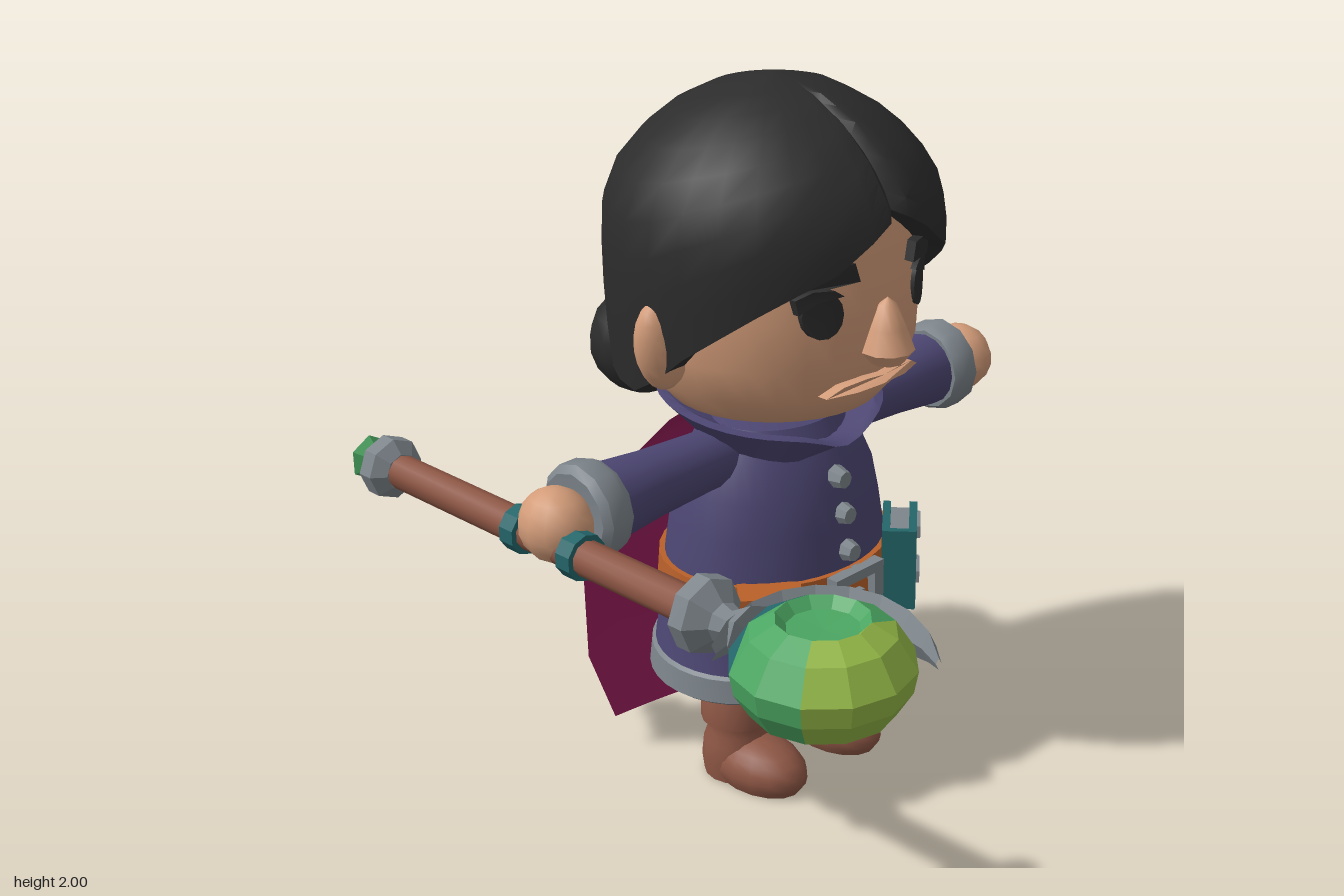
import * as THREE from 'three';
import { toCreasedNormals } from 'three/addons/utils/BufferGeometryUtils.js';

const paint = (name, hex) => {
  const m = new THREE.MeshStandardMaterial({ color: hex });
  m.name = name;
  return m;
};
const V = (pts) => pts.map(([x, y]) => new THREE.Vector2(x, y));
const lathe = (pts, n = 24) => new THREE.LatheGeometry(V(pts), n);
const box = (w, h, d) => new THREE.BoxGeometry(w, h, d);
const FLAT = 0.02;

// Piecewise linear lookup in a list of [key, value]
function lookup(table, k) {
  for (let i = 1; i < table.length; i++) {
    const [k0, v0] = table[i - 1], [k1, v1] = table[i];
    if (k <= k1) return v0 + (v1 - v0) * Math.max(0, (k - k0) / (k1 - k0));
  }
  return table[table.length - 1][1];
}

// Surface through nu x nv points; closed wraps around u
function grid(nu, nv, fn, closed) {
  const pos = [], idx = [];
  for (let j = 0; j < nv; j++) for (let i = 0; i < nu; i++) pos.push(...fn(i, j));
  for (let j = 0; j < nv - 1; j++) for (let i = 0; i < (closed ? nu : nu - 1); i++) {
    const a = j * nu + i, b = j * nu + (i + 1) % nu;
    idx.push(a, b, b + nu, a, b + nu, a + nu);
  }
  const g = new THREE.BufferGeometry();
  g.setAttribute('position', new THREE.Float32BufferAttribute(pos, 3));
  g.setIndex(idx);
  return g;
}

function warp(g, fn) {
  const p = g.attributes.position;
  for (let i = 0; i < p.count; i++) p.setXYZ(i, ...fn(p.getX(i), p.getY(i), p.getZ(i)));
  return g;
}

// Thin plate wrapped on the front of the head
function facePlate(pts, R) {
  const g = new THREE.ExtrudeGeometry(new THREE.Shape(V(pts)), { depth: 0.03, bevelEnabled: false });
  return warp(g, (x, y, z) => [x, y, Math.sqrt(R * R - x * x) + z - 0.02]);
}

export function createModel() {
  const hair = paint('hair black', 0x2c2c2c), skin = paint('skin', 0xd39c79);
  const cloth = paint('robe purple', 0x4c4672), capeMat = paint('cape magenta', 0x9a1f5c);
  const leather = paint('belt orange', 0xb9602a), metal = paint('metal grey', 0x7d858b);
  const brown = paint('boot brown', 0x8d5644), teal = paint('teal', 0x24666a);
  const green = paint('crystal green', 0x4ba662), lime = paint('orb lime', 0x93b747);
  capeMat.side = THREE.DoubleSide;

  const model = new THREE.Group();
  const group = (name, x, y, z, parent = model) => {
    const g = new THREE.Group();
    g.name = name;
    g.position.set(x, y, z);
    parent.add(g);
    return g;
  };
  const add = (parent, name, geo, mat, pos = [0, 0, 0], rot = [0, 0, 0], crease = 0.75) => {
    const m = new THREE.Mesh(toCreasedNormals(geo, crease), mat);
    m.name = name;
    m.position.set(...pos);
    m.rotation.set(...rot);
    parent.add(m);
    return m;
  };
  const body = group('character', 0.07, 0, -0.17);

  // Head and face
  add(body, 'head', lathe([[0, 1.11], [0.2, 1.12], [0.29, 1.15], [0.35, 1.22], [0.38, 1.32], [0.387, 1.45],
    [0.378, 1.6], [0.34, 1.75], [0, 1.85]], 32), skin);
  add(body, 'nose', lathe([[0, 1.31], [0.045, 1.315], [0.073, 1.35], [0.05, 1.41], [0.025, 1.47], [0, 1.49]], 10),
    skin, [0, 0, 0.4]);
  add(body, 'mouth', facePlate([[-0.175, 1.247], [-0.09, 1.25], [0, 1.253], [0.09, 1.25], [0.175, 1.247],
    [0.13, 1.272], [0.06, 1.281], [0, 1.277], [-0.06, 1.281], [-0.13, 1.272]], 0.385), skin);
  for (const s of [-1, 1]) {
    const oval = [];
    for (let i = 0; i < 14; i++) {
      const a = i / 14 * Math.PI * 2;
      oval.push([s * 0.183 + 0.049 * Math.cos(a), 1.472 + 0.062 * Math.sin(a)]);
    }
    const side = (pts) => pts.map(([x, y]) => [s * x, y]);
    add(body, 'eye', facePlate(oval, 0.387), hair);
    add(body, 'eyelash', facePlate(side([[0.135, 1.52], [0.16, 1.538], [0.21, 1.54], [0.247, 1.52], [0.24, 1.48],
      [0.2, 1.51]]), 0.39), hair);
    add(body, 'eyebrow', facePlate(side([[0.1, 1.555], [0.115, 1.605], [0.2, 1.6], [0.255, 1.58], [0.28, 1.54],
      [0.2, 1.545]]), 0.4), hair);
    const ear = add(body, 'ear', new THREE.SphereGeometry(1, 14, 10), skin, [s * 0.41, 1.37, 0], [0, s * 0.15, -s * 0.12]);
    ear.scale.set(0.078, 0.125, 0.055);
  }

  // Hair cap with a sloping hairline and a parting
  const hem = [[0, 1.72], [0.2, 1.67], [0.5, 1.58], [0.75, 1.54], [1.29, 1.38], [1.72, 1.22], [3.2, 1.205]];
  const hairR = [[1.2, 0.432], [1.4, 0.45], [1.65, 0.452], [1.74, 0.43], [1.83, 0.365], [1.91, 0.27], [1.97, 0.15], [2, 0]];
  const angles = [0, 0.08];
  for (let i = 1; i < 28; i++) angles.push(i / 28 * Math.PI * 2);
  angles.push(Math.PI * 2 - 0.08);
  add(body, 'hair', grid(angles.length, 12, (i, j) => {
    const a = angles[i], low = lookup(hem, Math.min(a, Math.PI * 2 - a));
    const t = Math.max(0, (j - 1) / 10);
    const y = low + (2 - low) * Math.sin(t * Math.PI / 2);
    let r = j === 0 ? 0.34 : j === 11 ? 0 : lookup(hairR, y);
    if (i === 0 && j > 0 && j < 9) r -= 0.03;
    return [r * Math.sin(a), y, r * Math.cos(a)];
  }, true), hair, undefined, undefined, 0.8);
  add(body, 'hairBun', new THREE.SphereGeometry(0.157, 12, 9), hair, [0, 1.135, -0.52]);
  add(body, 'hairTie', lathe([[0, -0.04], [0.08, -0.04], [0.1, -0.02], [0.1, 0.02], [0.08, 0.04], [0, 0.04]], 12),
    cloth, [0, 1.235, -0.405], [-2.28, 0, 0]);

  // Robe with a hem that lifts at the front
  const lift = (x, y, z) => {
    const c = Math.max(0, z / (Math.hypot(x, z) || 1));
    return [x, y + 0.085 * c ** 5 * Math.max(0, Math.min(1, (0.58 - y) / 0.12)) * Math.min(1, Math.hypot(x, z) / 0.3), z * 0.83];
  };
  add(body, 'robe', warp(lathe([[0, 0.4], [0.34, 0.38], [0.372, 0.4], [0.36, 0.47], [0.347, 0.58], [0.335, 0.68],
    [0.316, 0.8], [0.295, 0.9], [0.25, 1], [0.2, 1.08], [0, 1.12]], 40), lift), cloth);
  add(body, 'hemTrim', warp(lathe([[0.33, 0.36], [0.375, 0.335], [0.388, 0.345], [0.38, 0.41], [0.366, 0.42], [0.34, 0.4]], 40),
    lift), metal);
  add(body, 'belt', warp(lathe([[0.32, 0.57], [0.36, 0.57], [0.35, 0.685], [0.31, 0.685]], 32),
    (x, y, z) => [x, y, z * 0.84]), leather);
  for (const [y, z] of [[0.935, 0.243], [0.835, 0.262], [0.73, 0.28]])
    add(body, 'button', new THREE.CylinderGeometry(0.024, 0.035, 0.04, 8), metal, [0, y, z], [Math.PI / 2, 0, 0], FLAT);

  // Collar, higher behind, notched in front
  add(body, 'collar', grid(36, 4, (i, j) => {
    const a = i / 36 * Math.PI * 2, c = Math.cos(a), back = (1 - c) / 2;
    const notch = Math.max(0, c) ** 14;
    const y = [0.99 + 0.06 * back + 0.03 * notch, 1.09 + 0.075 * back - 0.05 * notch,
      1.095 + 0.075 * back - 0.05 * notch, 1.03 + 0.06 * back][j];
    const r = [0.215, 0.29 + 0.04 * back, 0.265 + 0.04 * back, 0.17][j] - 0.02 * notch;
    return [r * Math.sin(a), y, r * c];
  }, true), cloth);

  // Buckle
  const frame = new THREE.Shape(V([[-0.095, -0.07], [0.095, -0.07], [0.095, 0.07], [-0.095, 0.07]]));
  frame.holes.push(new THREE.Path(V([[-0.06, -0.04], [-0.06, 0.04], [0.06, 0.04], [0.06, -0.04]])));
  const buckle = group('buckle', 0, 0.615, 0.285, body);
  add(buckle, 'buckleFrame', new THREE.ExtrudeGeometry(frame, { depth: 0.035, bevelEnabled: false }), metal);
  add(buckle, 'bucklePin', box(0.09, 0.022, 0.02), metal, [-0.03, 0, 0.028]);

  // Belt pouch
  const pouch = group('pouch', -0.255, 0.6, 0.225, body);
  pouch.rotation.y = -0.72;
  const bag = warp(box(0.15, 0.17, 0.09), (x, y, z) => [x * (y < 0 ? 0.85 : 1), y, z * (y < 0 ? 0.8 : 1)]);
  add(pouch, 'pouchBag', bag, leather, [0, 0, 0], undefined, FLAT);
  const flap = new THREE.Shape(V([[-0.085, 0.09], [-0.085, 0.01], [0, -0.04], [0.085, 0.01], [0.085, 0.09]]));
  add(pouch, 'pouchFlap', new THREE.ExtrudeGeometry(flap, { depth: 0.1, bevelEnabled: false }), leather, [0, 0, -0.04]);
  add(pouch, 'pouchStud', new THREE.CylinderGeometry(0.015, 0.02, 0.02, 8), metal, [0, 0.01, 0.068], [Math.PI / 2, 0, 0], FLAT);

  // Book hanging on the belt
  const book = group('book', 0.235, 0.625, 0.255, body);
  book.rotation.y = 0.7;
  for (const z of [-0.037, 0.037]) add(book, 'bookCover', box(0.19, 0.24, 0.022), teal, [0, 0, z]);
  add(book, 'bookSpine', box(0.02, 0.24, 0.09), teal, [-0.09, 0, 0]);
  add(book, 'bookPages', box(0.16, 0.21, 0.055), metal, [0.005, 0, 0]);
  for (const y of [-0.07, 0.07]) {
    add(book, 'bookClasp', box(0.1, 0.035, 0.012), metal, [0.05, y, 0.052]);
    add(book, 'bookClaspSide', box(0.012, 0.035, 0.1), metal, [0.098, y, 0.005]);
  }

  for (const s of [-1, 1]) {
    // Arms
    const arm = group(s > 0 ? 'leftArm' : 'rightArm', 0, 1, 0, body);
    const turn = [0, 0, -s * Math.PI / 2];
    add(arm, 'sleeve', lathe([[0, 0.08], [0.08, 0.1], [0.083, 0.3], [0.092, 0.48], [0.108, 0.65]], 16), cloth, undefined, turn);
    add(arm, 'cuff', lathe([[0, 0.63], [0.118, 0.63], [0.132, 0.655], [0.132, 0.71], [0.112, 0.728], [0, 0.72]], 12),
      metal, undefined, turn);
    const hand = add(arm, 'hand', new THREE.SphereGeometry(0.104, 12, 9), skin, [s * 0.785, -0.005, 0]);
    hand.scale.set(0.9, 0.95, 1);
    // Legs and boots
    const leg = group(s > 0 ? 'leftLeg' : 'rightLeg', s * 0.156, 0, 0, body);
    add(leg, 'trouser', new THREE.CylinderGeometry(0.09, 0.085, 0.22, 16), cloth, [0, 0.36, 0]);
    add(leg, 'bootShaft', lathe([[0, 0], [0.098, 0], [0.104, 0.05], [0.098, 0.11], [0.088, 0.14], [0.088, 0.165],
      [0.105, 0.175], [0.105, 0.285], [0.094, 0.3], [0, 0.3]], 16), brown);
    add(leg, 'bootFoot', warp(new THREE.SphereGeometry(1, 16, 12), (x, y, z) =>
      [x * 0.106, Math.max(0, 0.045 + y * 0.09), 0.08 + z * 0.165]), brown);
  }

  // Cape: rows of height, half width, depth
  const rows = [[1.09, 0.12, -0.15], [1.03, 0.19, -0.215], [0.95, 0.27, -0.257], [0.78, 0.385, -0.295],
    [0.6, 0.435, -0.318], [0.34, 0.42, -0.33], [0.1, 0.325, -0.335]].reverse();
  add(body, 'cape', grid(9, rows.length, (i, j) => {
    const u = i / 4 - 1, [y, w, z] = rows[j];
    return [u * w, y - (j === 0 ? 0.045 * (1 - Math.abs(u)) : 0), z - 0.015 * (1 - u * u)];
  }), capeMat);

  // Staff, profile measured along z
  const staff = group('staff', -0.735, 0.955, 0);
  const along = [Math.PI / 2, 0, 0];
  add(staff, 'staffShaft', new THREE.CylinderGeometry(0.047, 0.047, 1.16, 10), brown, [0, 0, -0.22], along);
  for (const z of [-0.275, -0.06])
    add(staff, 'staffBand', new THREE.CylinderGeometry(0.062, 0.062, 0.05, 10), teal, [0, 0, z], along, FLAT);
  add(staff, 'backCap', lathe([[0, -0.875], [0.055, -0.875], [0.085, -0.85], [0.085, -0.805], [0.05, -0.775], [0, -0.775]], 8),
    metal, undefined, along, FLAT);
  add(staff, 'crystalStem', new THREE.CylinderGeometry(0.03, 0.04, 0.04, 8), lime, [0, 0, -0.885], along, FLAT);
  add(staff, 'crystal', lathe([[0, -0.98], [0.065, -0.915], [0.02, -0.87], [0, -0.87]], 6), green, undefined, along, FLAT);
  add(staff, 'frontCap', lathe([[0, 0.325], [0.055, 0.325], [0.098, 0.355], [0.098, 0.4], [0.05, 0.44], [0.04, 0.47],
    [0.075, 0.53], [0, 0.55]], 8), metal, undefined, along, FLAT);

  // Squashed orb, coloured in bands from back to front
  const orb = add(staff, 'orb', lathe([[0, -0.13], [0.1, -0.13], [0.17, -0.095], [0.207, -0.035], [0.217, 0.02],
    [0.17, 0.095], [0.11, 0.13], [0.085, 0.105], [0, 0.1]], 12), [teal, green, lime], [0, 0, 0.755], undefined, FLAT);
  const p = orb.geometry.attributes.position;
  orb.geometry.clearGroups();
  for (let i = 0; i < p.count; i += 3) {
    const z = (p.getZ(i) + p.getZ(i + 1) + p.getZ(i + 2)) / 3;
    orb.geometry.addGroup(i, 3, z < -0.12 ? 0 : z < 0.095 ? 1 : 2);
  }

  // Crescent blade hugging the orb
  add(staff, 'crescent', grid(4, 10, (i, j) => {
    const t = j / 9, a = -2.06 + t * 2.8, u = i * Math.PI / 2;
    const fat = Math.sin(Math.PI * (0.05 + 0.92 * t)) ** 0.7;
    const r = 0.26 + 0.035 * fat * Math.cos(u);
    return [r * Math.cos(a), 0.075 * fat * Math.sin(u), r * Math.sin(a)];
  }, true), metal, [0, 0, 0.755], undefined, FLAT);

  return model;
}
